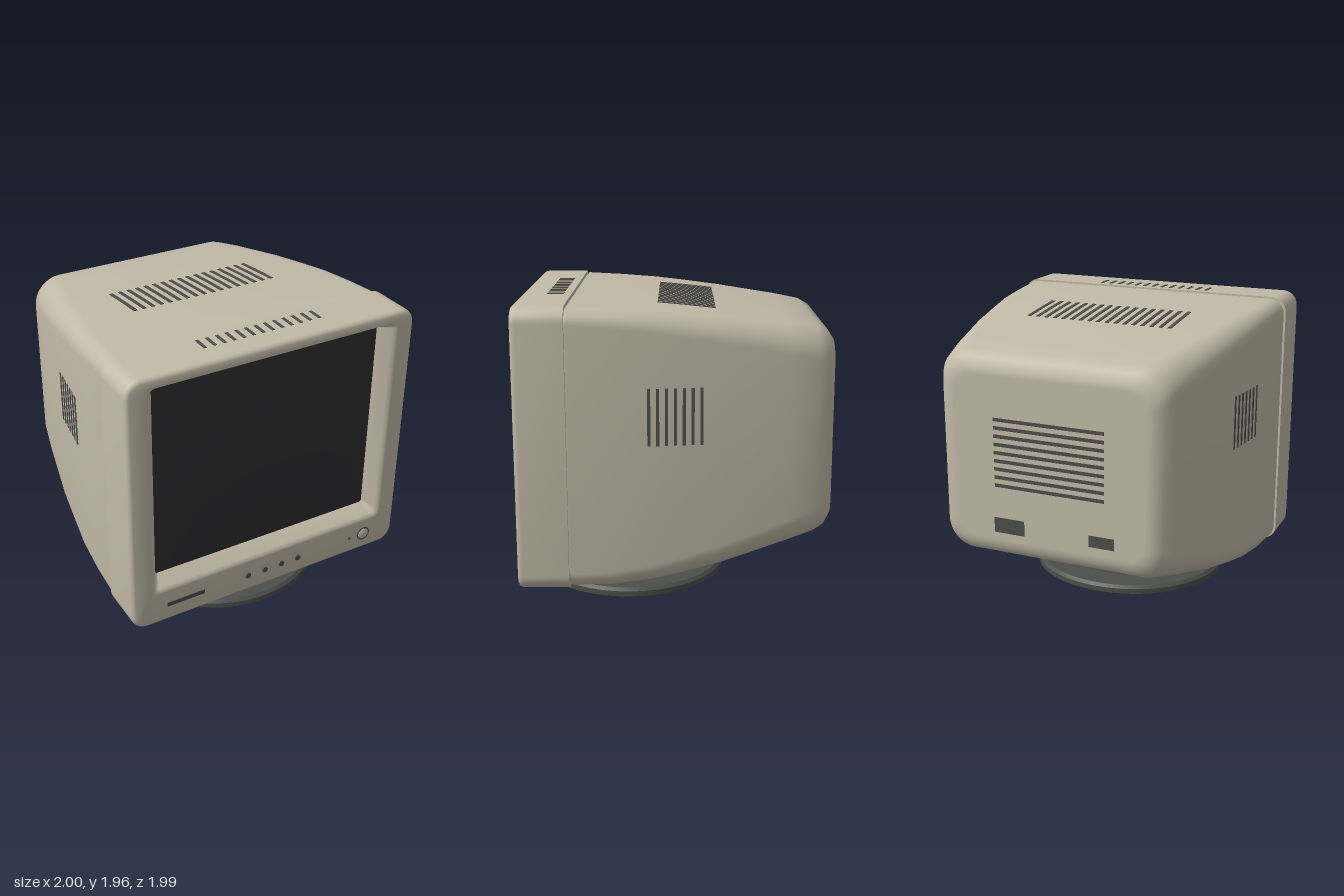
import * as THREE from 'three';
import { toCreasedNormals } from 'three/addons/utils/BufferGeometryUtils.js';

const material = (name, color) => {
  const m = new THREE.MeshStandardMaterial({ color });
  m.name = name;
  return m;
};

// Rounded rectangle ring, counter-clockwise seen from +z: [z, halfWidth, bottom, top, radius]
const CORNER = 8;
function ring([z, hw, y0, y1, r]) {
  const centres = [[hw - r, y1 - r], [r - hw, y1 - r], [r - hw, y0 + r], [hw - r, y0 + r]];
  return centres.flatMap(([cx, cy], q) => Array.from({ length: CORNER + 1 }, (_, i) => {
    const a = (q + i / CORNER) * Math.PI / 2;
    return [cx + r * Math.cos(a), cy + r * Math.sin(a), z];
  }));
}

// Skin a series of rings
function loft(sections, crease) {
  const rings = sections.map(ring), n = rings[0].length, index = [];
  for (let s = 0; s < rings.length - 1; s++) {
    for (let i = 0; i < n; i++) {
      const a = s * n + i, a2 = s * n + (i + 1) % n;
      index.push(a, a + n, a2 + n, a, a2 + n, a2);
    }
  }
  const g = new THREE.BufferGeometry();
  g.setAttribute('position', new THREE.Float32BufferAttribute(rings.flat(2), 3));
  g.setIndex(index);
  return toCreasedNormals(g, crease);
}

// Housing cross-sections, from the front seam to the back
const HOUSING = [
  [0.645, 0.99, 0.19, 1.95, 0.1],
  [0.4, 0.977, 0.19, 1.94, 0.11],
  [0.15, 0.96, 0.213, 1.925, 0.125],
  [-0.05, 0.933, 0.245, 1.907, 0.14],
  [-0.3, 0.9, 0.298, 1.88, 0.155],
  [-0.7, 0.825, 0.405, 1.828, 0.18],
  [-0.88, 0.785, 0.455, 1.798, 0.19],
  [-0.95, 0.745, 0.49, 1.76, 0.18],
  [-0.99, 0.68, 0.55, 1.7, 0.14],
];

// Housing dimension (1 = half width, 3 = top) at depth z
function housingAt(z, k) {
  const i = Math.max(1, HOUSING.findIndex((s) => s[0] <= z));
  const a = HOUSING[i - 1], b = HOUSING[i];
  return a[k] + (b[k] - a[k]) * (a[0] - z) / (a[0] - b[0]);
}

export function createModel() {
  const model = new THREE.Group();
  model.name = 'monitor';
  const beige = material('beige plastic', 0xc2baa8);
  const dark = material('dark grey plastic', 0x4c4e4a);
  const glass = material('dark screen glass', 0x2d2d2f);

  const add = (name, geometry, mat, x = 0, y = 0, z = 0, parent = model) => {
    const mesh = new THREE.Mesh(geometry, mat);
    mesh.name = name;
    mesh.position.set(x, y, z);
    parent.add(mesh);
    return mesh;
  };
  const group = (name) => {
    const g = new THREE.Group();
    g.name = name;
    model.add(g);
    return g;
  };

  // Front bezel: sloped recess, front face, rounded rim, sides
  add('bezel', loft([
    [0.88, 0.79, 0.5, 1.84, 0.015],
    [0.965, 0.845, 0.445, 1.88, 0.04],
    [0.98, 0.862, 0.43, 1.89, 0.05],
    [0.98, 0.88, 0.41, 1.9, 0.06],
    [0.98, 0.975, 0.205, 1.935, 0.08],
    [0.974, 0.99, 0.19, 1.95, 0.092],
    [0.96, 0.998, 0.182, 1.958, 0.1],
    [0.945, 1, 0.18, 1.96, 0.1],
    [0.66, 1, 0.18, 1.96, 0.1],
    [0.66, 0.95, 0.23, 1.91, 0.08],
  ], 0.8), beige);

  // Rear housing with a recessed seam and a closed back
  add('housing', loft([
    [0.67, 0.975, 0.205, 1.935, 0.095],
    [0.645, 0.975, 0.205, 1.935, 0.095],
    ...HOUSING,
    [-0.99, 0.64, 0.59, 1.66, 0.12],
    [-0.99, 0, 1.125, 1.125, 0],
  ], 1.1), beige);

  // Slightly bulging screen
  const screen = new THREE.PlaneGeometry(1.6, 1.36, 16, 16);
  const sp = screen.attributes.position;
  for (let i = 0; i < sp.count; i++) {
    sp.setZ(i, 0.02 * (1 - (sp.getX(i) / 0.8) ** 2) * (1 - (sp.getY(i) / 0.68) ** 2));
  }
  screen.computeVertexNormals();
  add('screen', screen, glass, 0, 1.17, 0.881);

  // Top vents follow the sloping housing
  const topVents = group('topVents');
  for (let i = -8; i <= 8; i++) {
    const g = new THREE.BoxGeometry(0.025, 0.008, 0.365, 1, 1, 8);
    const p = g.attributes.position;
    for (let v = 0; v < p.count; v++) p.setY(v, p.getY(v) + housingAt(p.getZ(v) - 0.07, 3));
    add('topVent', g, dark, i * 0.0622, 0, -0.07, topVents);
  }

  // Bezel vents
  const bezelVents = group('bezelVents');
  for (let i = -6; i <= 6; i++) {
    add('bezelVent', new THREE.BoxGeometry(0.02, 0.008, 0.105), dark, i * 0.0665, 1.96, 0.763, bezelVents);
  }

  // Side vents, mirrored
  const sideVents = group('sideVents');
  for (const side of [-1, 1]) {
    for (let i = -3; i <= 3; i++) {
      const z = i * 0.0535;
      const g = new THREE.BoxGeometry(0.008, 0.355, 0.019);
      const p = g.attributes.position;
      for (let v = 0; v < p.count; v++) p.setX(v, p.getX(v) + side * housingAt(z + p.getZ(v), 1));
      add('sideVent', g, dark, 0, 1.287, z, sideVents);
    }
  }

  // Back vents and connector panels
  const backVents = group('backVents');
  for (let i = 0; i < 9; i++) {
    add('backVent', new THREE.BoxGeometry(0.75, 0.022, 0.008), dark, 0, 0.957 + i * 0.0537, -0.99, backVents);
  }
  add('powerSocket', new THREE.BoxGeometry(0.21, 0.1, 0.008), dark, 0.28, 0.69, -0.99);
  add('signalSocket', new THREE.BoxGeometry(0.17, 0.075, 0.008), dark, -0.355, 0.685, -0.99);

  // Front controls
  const disc = (r, depth) => new THREE.CylinderGeometry(r, r, depth, 24).rotateX(Math.PI / 2);
  add('frontSlot', new THREE.BoxGeometry(0.27, 0.028, 0.009), dark, -0.625, 0.308, 0.981);
  for (const x of [-0.167, -0.039, 0.089, 0.217]) {
    add('button', disc(0.02, 0.016), dark, x, 0.306, 0.981);
  }
  add('indicator', disc(0.01, 0.01), dark, 0.637, 0.306, 0.981);
  add('powerButtonRing', disc(0.05, 0.008), dark, 0.753, 0.306, 0.98);
  add('powerButton', new THREE.SphereGeometry(0.043, 24, 12).scale(1, 1, 0.25), beige, 0.753, 0.306, 0.981);

  // Swivel stand: oval base plate and domed neck
  const lathe = (points) => toCreasedNormals(
    new THREE.LatheGeometry(points.map(([x, y]) => new THREE.Vector2(x, y)), 64), 0.6);
  add('basePlate', lathe([[0, 0], [0.66, 0], [0.68, 0.015], [0.68, 0.05], [0.66, 0.07], [0, 0.07]]),
    dark, 0, 0, 0.31).scale.z = 0.94;
  const dome = Array.from({ length: 9 }, (_, i) => {
    const a = i / 8 * 0.9;
    return [0.47 * Math.cos(a), 0.068 + 0.27 * Math.sin(a)];
  });
  add('neck', lathe(dome), dark, 0, 0, 0.267).scale.z = 0.855;

  return model;
}
